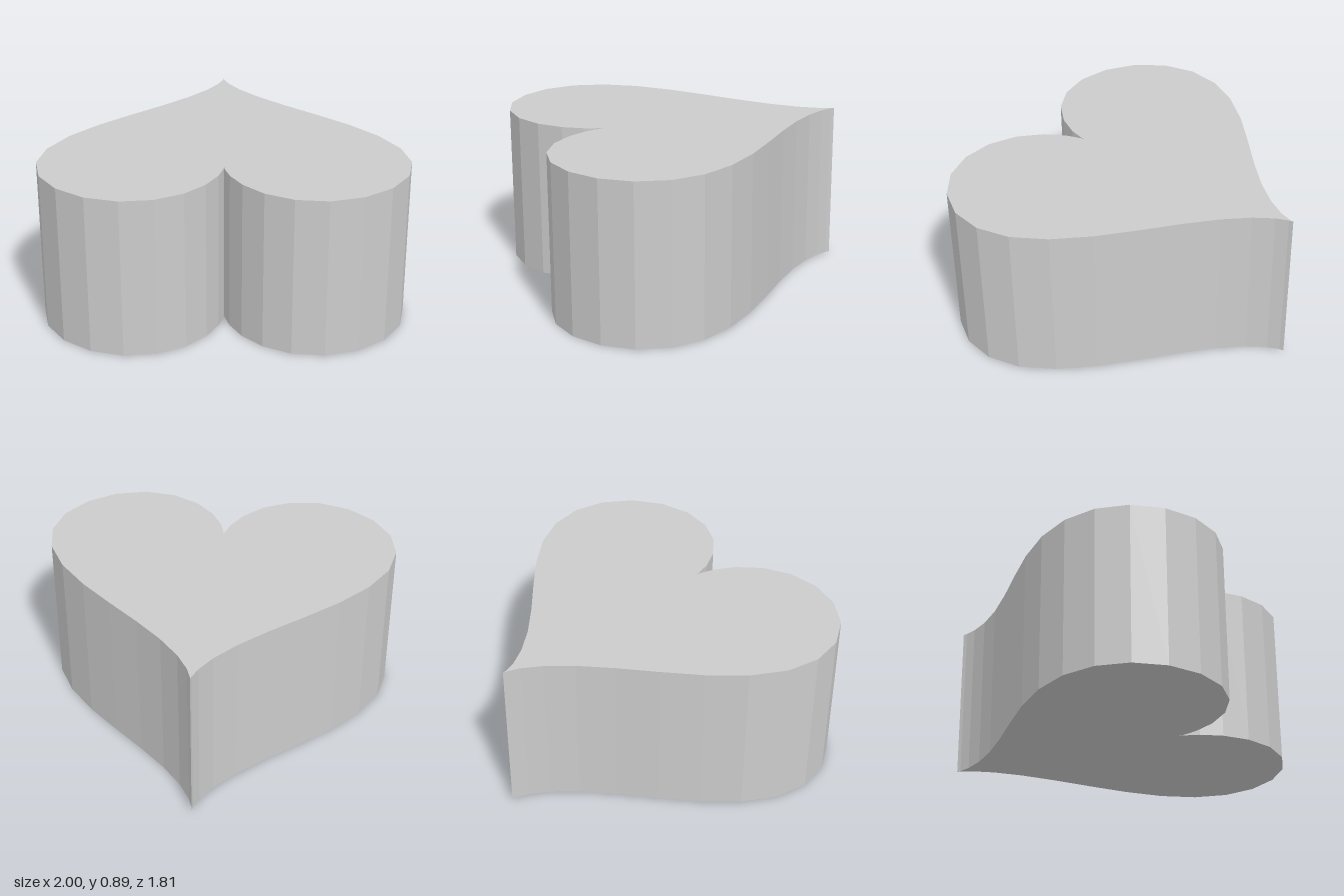
import * as THREE from 'three';

const SEGMENTS = 40;
const HEIGHT = 0.895;
const CENTRE = 0.1595; // shifts the outline so its depth is centred

// Parametric heart outline, one unit in half-width
function heartPoint(t) {
  const x = Math.sin(t) ** 3;
  const y = (13 * Math.cos(t) - 5 * Math.cos(2 * t) - 2 * Math.cos(3 * t) - Math.cos(4 * t)) / 16;
  return new THREE.Vector2(x, y + CENTRE);
}

export function createModel() {
  const group = new THREE.Group();
  group.name = 'heartPrism';

  const outline = [];
  for (let i = 0; i < SEGMENTS; i++) {
    outline.push(heartPoint((i / SEGMENTS) * Math.PI * 2));
  }

  // Lay the extrusion flat: lobes to the front, point to the back
  const geometry = new THREE.ExtrudeGeometry(new THREE.Shape(outline), {
    depth: HEIGHT,
    bevelEnabled: false,
  });
  geometry.rotateX(Math.PI / 2);
  geometry.translate(0, HEIGHT, 0);

  const heart = new THREE.Mesh(
    geometry,
    new THREE.MeshStandardMaterial({ color: 0xcccccc, flatShading: true })
  );
  heart.name = 'heart';
  group.add(heart);
  return group;
}
